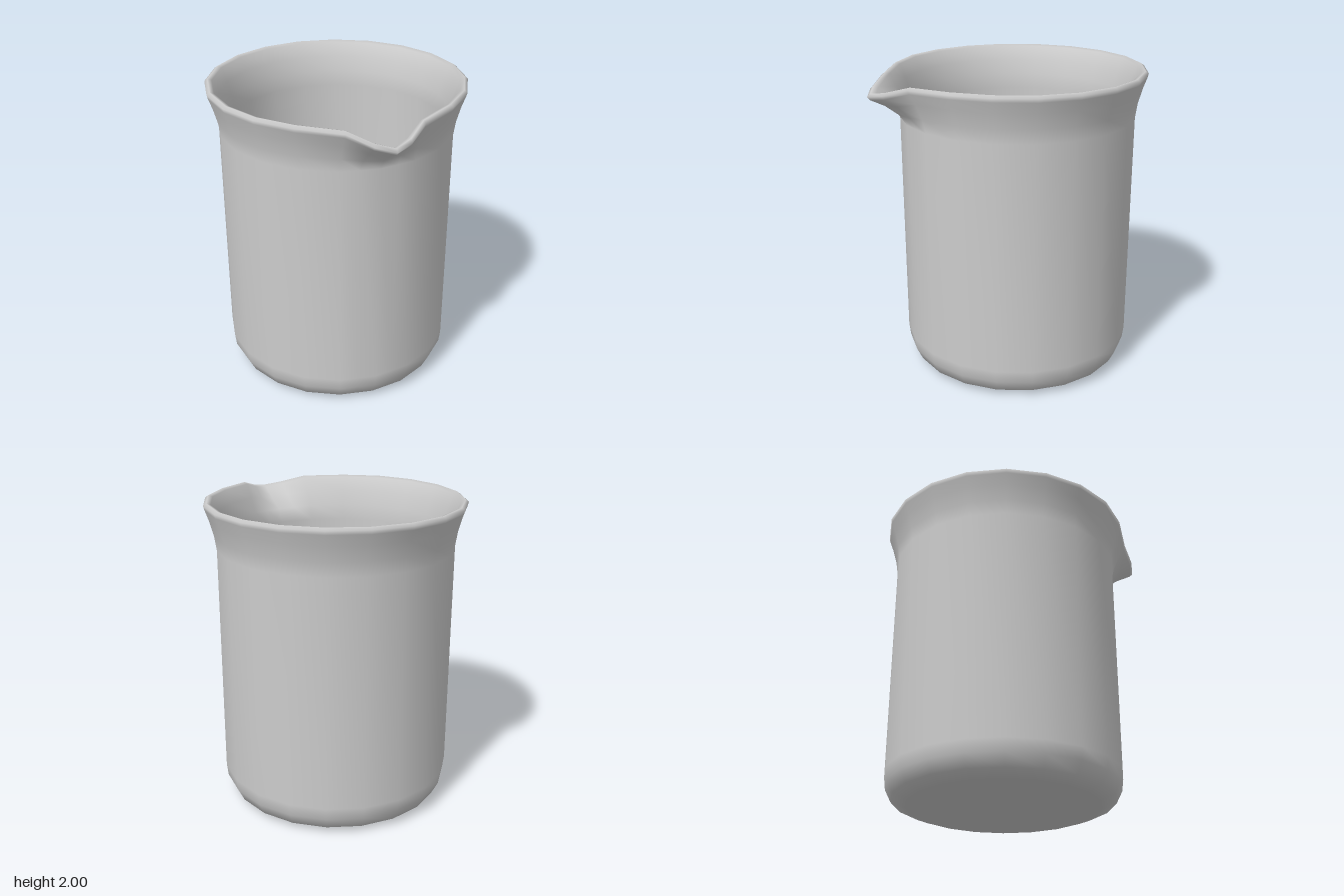
import * as THREE from 'three';

// Wall cross-section, from under the base, over the rim, to the inner floor:
// [radius, height, how strongly the spout pulls it out, how strongly it drops]
const PROFILE = [
  [0, 0, 0, 0], [0.62, 0.005, 0, 0], [0.71, 0.04, 0, 0], [0.75, 0.12, 0, 0],
  [0.76, 0.2, 0, 0], [0.76, 1.7, 0, 0], [0.773, 1.79, 0.2, 0.25],
  [0.8, 1.89, 0.55, 0.65], [0.825, 1.96, 0.93, 0.95], [0.832, 1.985, 1, 1],
  [0.812, 2, 1, 0.95], [0.785, 1.99, 0.95, 0.95], [0.75, 1.9, 0.65, 0.6],
  [0.72, 1.8, 0.22, 0.2], [0.71, 1.7, 0, 0], [0.71, 0.2, 0, 0],
  [0.69, 0.11, 0, 0], [0.65, 0.06, 0, 0], [0.56, 0.04, 0, 0], [0, 0.04, 0, 0],
];

// Spout shape by angle from its tip: [pull out, drop, sideways squeeze]
const SPOUT = {
  0: [0.17, 0.085, 0], 9: [0.135, 0.062, 0.13],
  18: [0.04, 0.012, 0.06], 36: [0, 0.004, 0],
};

const CENTRE_Z = -0.085;

function buildVessel() {
  // twenty sides, with two extra columns beside the spout tip
  const angles = [];
  for (let a = 0; a < 360; a += 18) {
    angles.push(a);
    if (a === 72 || a === 90) angles.push(a + 9);
  }

  const positions = [];
  for (const a of angles) {
    const t = THREE.MathUtils.degToRad(a);
    const flat = a % 18 ? Math.cos(Math.PI / 20) : 1;
    const [out, drop, squeeze] = SPOUT[Math.abs(a - 90)] || [0, 0, 0];
    for (const [r, y, pull, fall] of PROFILE) {
      positions.push(
        r * flat * Math.cos(t) * (1 - squeeze * pull),
        y - drop * fall,
        r * flat * Math.sin(t) + out * pull + CENTRE_Z,
      );
    }
  }

  const n = PROFILE.length;
  const index = [];
  angles.forEach((_, i) => {
    const p = i * n;
    const q = ((i + 1) % angles.length) * n;
    for (let j = 0; j < n - 1; j++) {
      if (j < n - 2) index.push(p + j, p + j + 1, q + j + 1);
      if (j > 0) index.push(p + j, q + j + 1, q + j);
    }
  });

  const geometry = new THREE.BufferGeometry();
  geometry.setAttribute('position', new THREE.Float32BufferAttribute(positions, 3));
  geometry.setIndex(index);
  geometry.computeVertexNormals();
  return geometry;
}

export function createModel() {
  const group = new THREE.Group();
  group.name = 'beaker';
  const paleGrey = new THREE.MeshStandardMaterial({ color: 0xcccccc });
  paleGrey.name = 'paleGrey';

  // Thin-walled vessel with flared rim and pouring spout
  const vessel = new THREE.Mesh(buildVessel(), paleGrey);
  vessel.name = 'vessel';
  group.add(vessel);
  return group;
}
